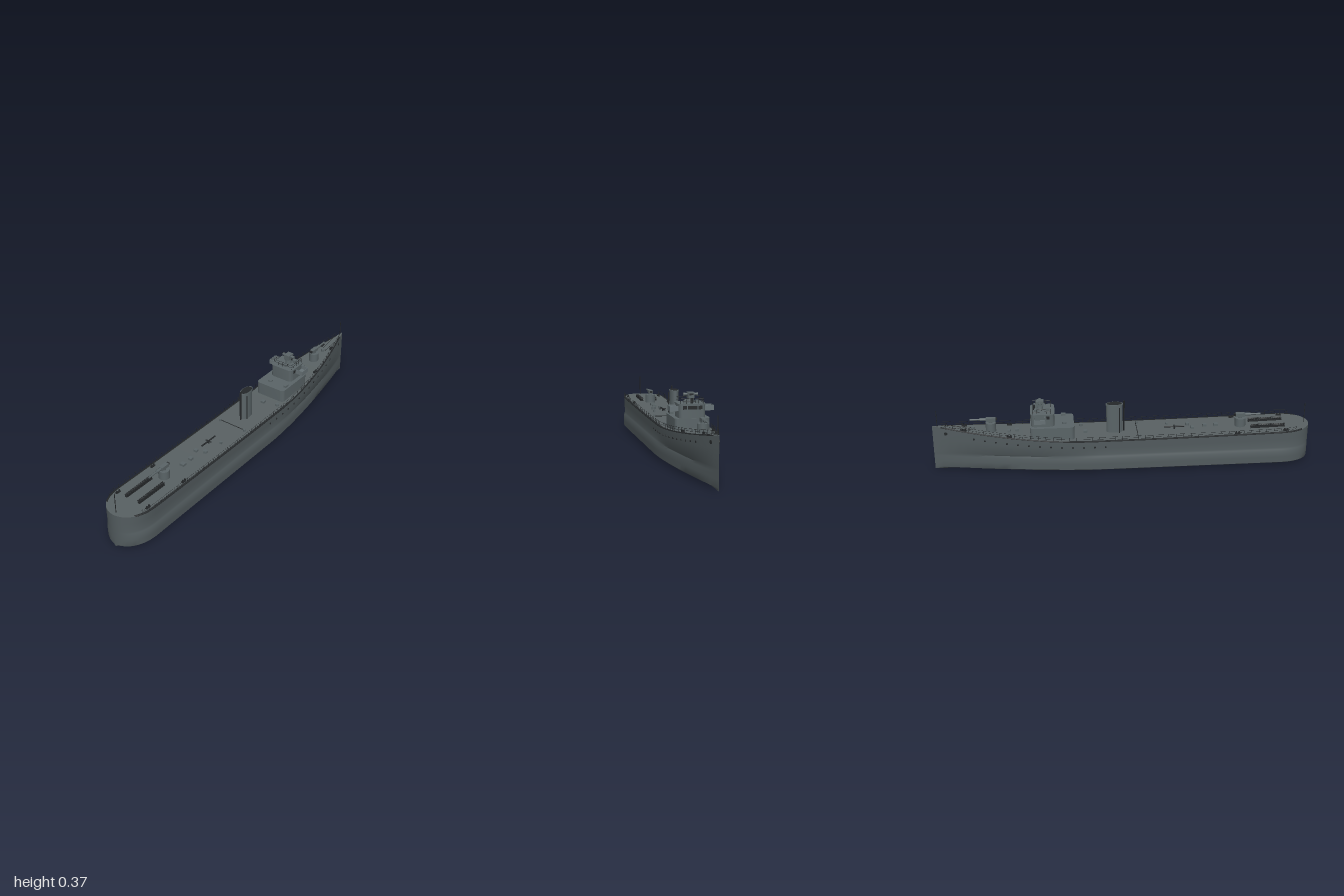
import * as THREE from 'three';
import { mergeGeometries, toCreasedNormals } from 'three/addons/utils/BufferGeometryUtils.js';

const mat = (name, color, side = THREE.FrontSide) => {
  const m = new THREE.MeshStandardMaterial({ color, side });
  m.name = name;
  return m;
};

// Deck half-width and deck height along the ship
function halfWidth(x, power = 1.9, start = 0.2) {
  if (x > start) return 0.12 * (1 - Math.pow((x - start) / (1 - start), power));
  if (x < -0.82) return 0.12 * Math.sqrt(Math.max(0, 1 - Math.pow((-0.82 - x) / 0.18, 2.5)));
  return 0.12;
}
const deckY = x => x > 0.2 ? 0.181 + 0.069 * Math.pow((x - 0.2) / 0.8, 1.6) : 0.181 + 0.01 * (x - 0.2) ** 2;

// Skin stretched over cross-sections
function skin(stations, section, flip = false) {
  const pos = [], idx = [];
  let n = 0;
  stations.forEach((x, i) => {
    const pts = section(x);
    n = pts.length;
    pts.forEach(([z, y]) => pos.push(x, y, z));
    if (!i) return;
    for (let j = 0; j < n - 1; j++) {
      const a = (i - 1) * n + j, b = i * n + j, c = a + 1, d = b + 1;
      if (flip) idx.push(a, b, c, b, d, c);
      else idx.push(a, c, b, b, c, d);
    }
  });
  const g = new THREE.BufferGeometry();
  g.setAttribute('position', new THREE.Float32BufferAttribute(pos, 3));
  g.setIndex(idx);
  g.computeVertexNormals();
  return g;
}

// Hull section from the left deck edge, under the keel, to the right deck edge
function hullSection(x) {
  const top = deckY(x), w = halfWidth(x), low = halfWidth(x, 1.6, 0.12);
  const half = [[w, top], [w * 0.985, top * 0.78], [w * 0.5 + low * 0.465, 0.102], [low * 0.985, 0.092],
    [low * 1.025, 0.08], [low * 1.025, 0.05], [low * 1.01, 0.018], [low * 0.97, 0.014], [low * 0.5, 0.007]];
  return [...half, [0, 0], ...half.slice().reverse().map(([z, y]) => [-z, y])];
}

// Thin round bar between two points
function bar(p, q, r = 0.001, sides = 5) {
  const a = new THREE.Vector3(...p), b = new THREE.Vector3(...q), d = b.clone().sub(a);
  const g = new THREE.CylinderGeometry(r, r, d.length(), sides);
  g.applyQuaternion(new THREE.Quaternion().setFromUnitVectors(new THREE.Vector3(0, 1, 0), d.normalize()));
  return g.translate((p[0] + q[0]) / 2, (p[1] + q[1]) / 2, (p[2] + q[2]) / 2);
}
const box = (x0, x1, y0, y1, z0, z1) => new THREE.BoxGeometry(x1 - x0, y1 - y0, z1 - z0)
  .translate((x0 + x1) / 2, (y0 + y1) / 2, (z0 + z1) / 2);
const drum = (x, y, z, r, h, sides = 20, r2 = r) => new THREE.CylinderGeometry(r2, r, h, sides).translate(x, y + h / 2, z);

// Upright block with rounded corners in plan
function house(x0, x1, y0, y1, w, r) {
  const s = new THREE.Shape();
  s.moveTo(x0 + r, -w).lineTo(x1 - r, -w).quadraticCurveTo(x1, -w, x1, -w + r).lineTo(x1, w - r)
    .quadraticCurveTo(x1, w, x1 - r, w).lineTo(x0 + r, w).quadraticCurveTo(x0, w, x0, w - r)
    .lineTo(x0, -w + r).quadraticCurveTo(x0, -w, x0 + r, -w);
  const g = new THREE.ExtrudeGeometry(s, { depth: y1 - y0, bevelEnabled: false, curveSegments: 6 });
  return toCreasedNormals(g.rotateX(-Math.PI / 2).translate(0, y0, 0), 0.6);
}

export function createModel() {
  const ship = new THREE.Group();
  ship.name = 'warship';
  const hullGrey = mat('hull grey', 0x535c5f);
  const deckGrey = mat('deck grey', 0x596163);
  const upperGrey = mat('superstructure grey', 0x5a6467);
  const wingGrey = mat('bridge wing grey', 0x667175, THREE.DoubleSide);
  const dark = mat('dark fittings', 0x25282a, THREE.DoubleSide);
  const add = (name, geo, m) => {
    const mesh = new THREE.Mesh(Array.isArray(geo) ? mergeGeometries(geo) : geo, m);
    mesh.name = name;
    ship.add(mesh);
    return mesh;
  };

  // Hull and deck, with stations packed closely at the stern
  const stations = [];
  for (let i = 0; i < 14; i++) stations.push(-0.82 - 0.18 * Math.cos(i / 14 * Math.PI / 2));
  for (let i = 0; i <= 40; i++) stations.push(-0.82 + 1.82 * i / 40);
  add('hull', toCreasedNormals(skin(stations, hullSection), 0.6), hullGrey);
  add('deck', skin(stations, x => [[halfWidth(x), deckY(x)], [-halfWidth(x), deckY(x)]], true), deckGrey);

  // Deck edge strips, rails and posts on both sides
  const edge = stations.filter(x => x > -0.95 && x < 0.97);
  const strips = [], rails = [];
  for (const s of [1, -1]) {
    strips.push(skin(edge, x => {
      const w = halfWidth(x), t = x > 0.3 ? 0.005 : 0.009;
      return [[s * (w + 0.001), deckY(x) - 0.003], [s * (w + 0.001), deckY(x) + 0.002], [s * (w - t), deckY(x) + 0.002]];
    }, s > 0));
    const at = (x, h) => [x, deckY(x) + h, s * Math.max(0.002, halfWidth(x) - 0.003)];
    for (const h of [0.012, 0.023]) {
      const path = new THREE.CatmullRomCurve3(edge.filter(x => x > -0.92).map(x => new THREE.Vector3(...at(x, h))));
      rails.push(new THREE.TubeGeometry(path, 90, 0.0007, 4));
    }
    for (let x = -0.91; x < 0.96; x += 0.04) rails.push(bar(at(x, 0), at(x, 0.024), 0.0009));
  }
  add('deckEdge', strips, dark);
  add('railings', rails, dark);

  // Portholes and anchor openings, thin discs on the hull side
  const discs = [];
  const sideDisc = (x, drop, r, s) => {
    const y = deckY(x) - drop, w = halfWidth(x);
    const slope = (halfWidth(x + 0.01) - halfWidth(x - 0.01)) / 0.02;
    discs.push(new THREE.CylinderGeometry(r, r, 0.006, 10).rotateX(Math.PI / 2)
      .rotateY(-s * Math.atan(slope)).translate(x, y, s * w * 0.989));
  };
  for (const s of [1, -1]) {
    for (let i = 0; i < 13; i++) sideDisc(0.1 + i * 0.057, 0.034, 0.005, s);
    sideDisc(0.93, 0.03, 0.009, s);
  }
  add('portholes', discs, dark);

  // Flagstaffs
  add('sternStaff', bar([-0.978, 0.19, 0], [-0.978, 0.305, 0], 0.002), dark);
  add('bowStaff', bar([0.974, 0.24, 0], [0.974, 0.335, 0], 0.002), dark);

  // Funnel with cap, mouth and pipes
  const oval = (r, y, h) => new THREE.CylinderGeometry(r, r, h, 32).scale(1, 1, 0.52).translate(0.045, y + h / 2, 0);
  add('funnel', oval(0.043, 0.175, 0.161), upperGrey);
  add('funnelCap', oval(0.046, 0.333, 0.008), upperGrey);
  add('funnelMouth', oval(0.04, 0.338, 0.004), dark);
  add('funnelPipes', [bar([-0.006, 0.18, 0], [-0.006, 0.355, 0], 0.004, 8), bar([0.02, 0.18, 0.024], [0.02, 0.325, 0.024], 0.003, 6),
    bar([0.02, 0.18, -0.024], [0.02, 0.325, -0.024], 0.003, 6)], dark);

  // Superstructure, bridge and windows
  add('lowerHouse', house(0.26, 0.49, 0.175, 0.252, 0.088, 0.022), upperGrey);
  add('bridge', house(0.362, 0.485, 0.252, 0.32, 0.067, 0.025), upperGrey);
  add('bridgeRoof', house(0.36, 0.487, 0.317, 0.322, 0.069, 0.025), upperGrey);
  const windows = [[-0.024, 0.024], [0.029, 0.049], [-0.049, -0.029]].map(([a, b]) => box(0.481, 0.487, 0.295, 0.312, a, b));
  for (const s of [1, -1]) windows.push(box(0.388, 0.404, 0.295, 0.312, s * 0.065 - 0.003, s * 0.065 + 0.003));
  add('bridgeWindows', windows, dark);

  // Open bridge wings with low screens
  const wings = [];
  for (const s of [1, -1]) {
    const [a, b] = s > 0 ? [0.06, 0.11] : [-0.11, -0.06];
    wings.push(box(0.41, 0.468, 0.286, 0.289, a, b), box(0.466, 0.468, 0.289, 0.311, a, b),
      box(0.41, 0.412, 0.289, 0.311, a, b), box(0.41, 0.468, 0.289, 0.311, s * 0.109 - 0.001, s * 0.109 + 0.001));
  }
  add('bridgeWings', wings, wingGrey);

  // Bridge-top railing
  const topRail = [], corners = [[0.38, 0.058], [0.475, 0.058], [0.475, -0.058], [0.38, -0.058]];
  corners.forEach(([x, z], i) => {
    const [x2, z2] = corners[(i + 1) % 4];
    for (const y of [0.334, 0.347]) topRail.push(bar([x, y, z], [x2, y, z2], 0.0009));
    for (let k = 0; k < 4; k++) {
      const px = x + (x2 - x) * k / 4, pz = z + (z2 - z) * k / 4;
      topRail.push(bar([px, 0.32, pz], [px, 0.348, pz], 0.001));
    }
  });
  add('bridgeRailing', topRail, dark);

  // Rangefinder on its pedestal, with lookout boxes
  add('rangefinder', [drum(0.435, 0.32, 0, 0.018, 0.027, 16, 0.014), box(0.415, 0.457, 0.346, 0.374, -0.016, 0.016),
    bar([0.435, 0.364, -0.033], [0.435, 0.364, 0.033], 0.006, 12),
    bar([0.435, 0.364, 0.026], [0.435, 0.364, 0.036], 0.008, 12), bar([0.435, 0.364, -0.036], [0.435, 0.364, -0.026], 0.008, 12)], upperGrey);
  add('rangefinderSlit', box(0.455, 0.459, 0.361, 0.369, -0.009, 0.009), dark);
  add('lookoutBoxes', [box(0.445, 0.465, 0.32, 0.338, 0.02, 0.038), box(0.445, 0.465, 0.32, 0.338, -0.038, -0.02),
    box(0.385, 0.405, 0.32, 0.335, -0.02, 0.02)], upperGrey);
  add('compass', drum(0.465, 0.32, 0, 0.006, 0.028, 10), dark);
  add('roofLockers', [box(0.3, 0.325, 0.25, 0.263, 0.062, 0.078), drum(0.31, 0.252, -0.03, 0.012, 0.008, 16)], upperGrey);

  // Deck guns: round stand, cradle and barrel
  function gun(name, x, dir, r) {
    const y = deckY(x), g = new THREE.Group();
    const parts = [drum(0, -0.006, 0, r, 0.052, 24), box(-0.026, 0.024, 0.053, 0.071, -0.011, 0.011),
      drum(0, 0.044, 0, 0.011, 0.012, 12)];
    const body = new THREE.Mesh(mergeGeometries(parts), upperGrey);
    const barrel = new THREE.Mesh(mergeGeometries([bar([0.01, 0.063, 0], [0.055, 0.063, 0], 0.008, 12),
      bar([0.05, 0.063, 0], [0.108, 0.063, 0], 0.005, 10)]), upperGrey);
    const breech = new THREE.Mesh(box(-0.034, -0.024, 0.057, 0.069, -0.007, 0.007), dark);
    body.name = 'gunStand';
    barrel.name = 'gunBarrel';
    breech.name = 'gunBreech';
    g.add(body, barrel, breech);
    g.name = name;
    g.position.set(x, y, 0);
    if (dir < 0) g.rotation.y = Math.PI;
    ship.add(g);
  }
  gun('forwardGun', 0.695, 1, 0.027);
  gun('aftGun', -0.63, -1, 0.029);

  // Stern racks: paired rails carrying a row of drums
  const racks = [];
  for (const z of [0.04, -0.04]) {
    racks.push(box(-0.865, -0.68, 0.188, 0.194, z - 0.007, z + 0.007));
    for (const e of [-0.006, 0.006]) racks.push(bar([-0.865, 0.206, z + e], [-0.68, 0.206, z + e], 0.0015));
    for (let i = 0; i < 14; i++) racks.push(bar([-0.858 + i * 0.0132, 0.199, z - 0.006], [-0.858 + i * 0.0132, 0.199, z + 0.006], 0.006, 8));
  }
  add('sternRacks', racks, dark);

  // Paired bollards
  const bollards = [];
  for (const [x, z] of [[-0.86, 0.095], [-0.6, 0.1], [0.6, 0.074], [0.835, 0.029]]) for (const s of [1, -1]) {
    const y = deckY(x);
    bollards.push(box(x - 0.014, x + 0.014, y - 0.002, y + 0.004, s * z - 0.006, s * z + 0.006));
    for (const d of [-0.008, 0.008]) bollards.push(drum(x + d, y, s * z, 0.004, 0.012, 8));
  }
  add('bollards', bollards, dark);

  // Hatches, vents and small deck gear
  const hatches = [[-0.5, 0.012, 0.012], [-0.44, 0.012, 0.01], [-0.37, -0.01, 0.009], [-0.24, 0.05, 0.006], [0.2, 0, 0.01], [0.56, 0.01, 0.01], [0.6, -0.01, 0.008]];
  add('hatches', hatches.map(([x, z, r]) => box(x - r, x + r, deckY(x) - 0.004, deckY(x) + 0.012, z - r, z + r)), upperGrey);
  add('vents', [[-0.35, 0.035, 0.011], [0.22, 0.08, 0.01], [-0.08, 0.08, 0.006], [-0.08, -0.08, 0.006], [0.79, 0, 0.009]]
    .map(([x, z, r]) => drum(x, deckY(x) - 0.003, z, r, 0.016, 14)), upperGrey);
  add('deckGear', [bar([-0.33, 0.196, -0.004], [-0.22, 0.196, -0.004], 0.004, 8), bar([-0.275, 0.196, -0.022], [-0.275, 0.196, 0.014], 0.003, 8),
    drum(-0.275, 0.18, -0.004, 0.005, 0.02, 8), bar([-0.075, 0.185, -0.08], [-0.075, 0.185, 0.08], 0.002),
    bar([0.8, deckY(0.8) + 0.002, 0.012], [0.925, deckY(0.925) + 0.002, 0.016], 0.0015), bar([0.8, deckY(0.8) + 0.002, -0.012], [0.925, deckY(0.925) + 0.002, -0.016], 0.0015)], dark);

  return ship;
}
